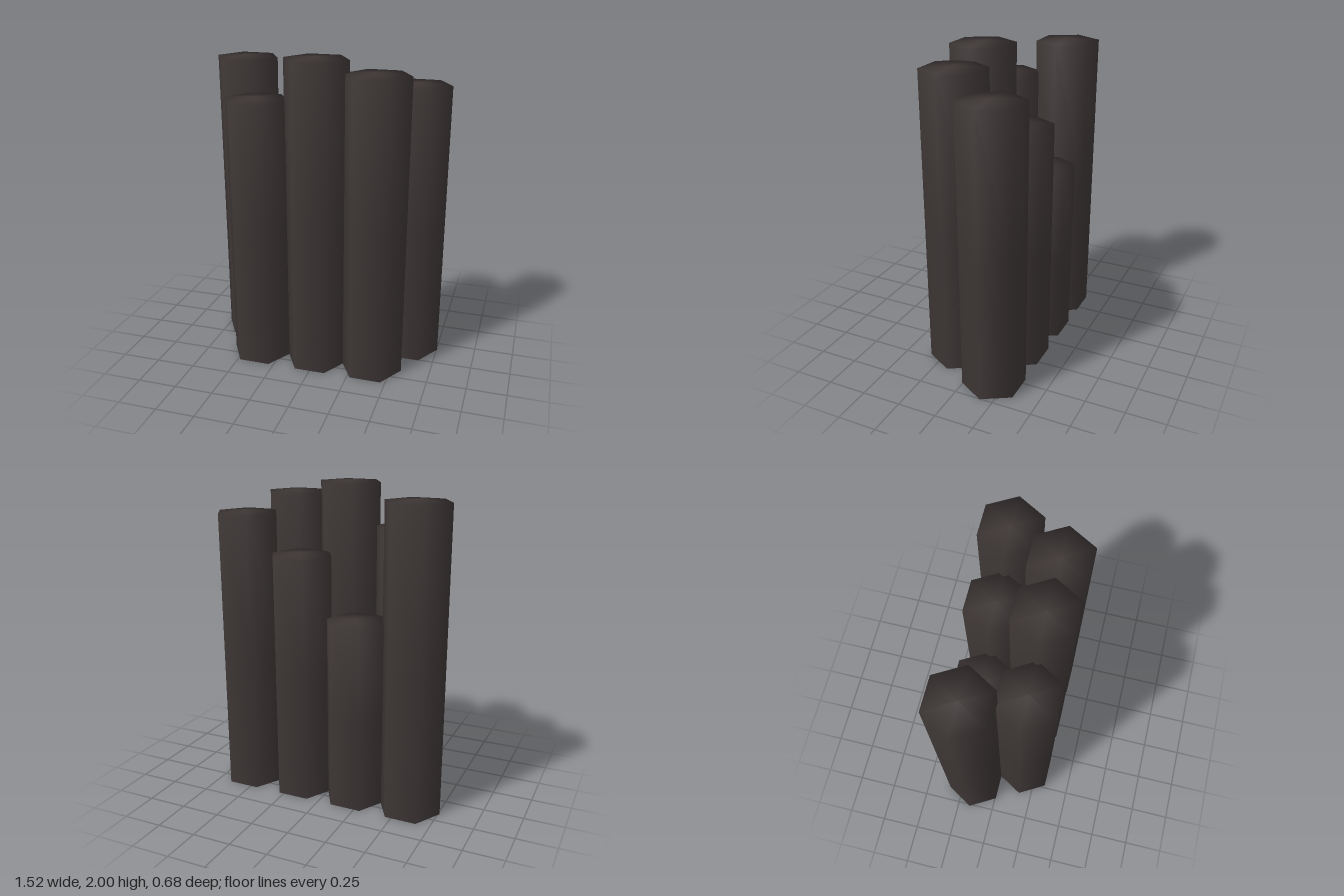
import * as THREE from 'three';

// Cluster of hexagonal stone columns: name, x, z, height
const COLUMNS = [
  ['backColumn1', -0.562, -0.167, 1.94],
  ['backColumn2', -0.19, -0.167, 1.2],
  ['backColumn3', 0.182, -0.167, 1.58],
  ['backColumn4', 0.555, -0.167, 1.82],
  ['frontColumn1', -0.383, 0.163, 1.74],
  ['frontColumn2', 0, 0.163, 2.0],
  ['frontColumn3', 0.37, 0.163, 1.925],
];
const TOP_R = 0.204, BASE_R = 0.199, DOME = 0.013;

export function createModel() {
  const group = new THREE.Group();
  group.name = 'stoneColumns';
  const basalt = new THREE.MeshStandardMaterial({ color: 0x3d3635 });
  basalt.name = 'basalt';

  for (const [name, x, z, h] of COLUMNS) {
    const column = new THREE.Group();
    column.name = name;
    column.position.set(x, 0, z);

    // Six-sided shaft, slightly wider at the top, with a faintly domed cap
    const profile = [
      [BASE_R, 0],
      [(BASE_R + TOP_R) / 2, h / 2],
      [TOP_R, h - DOME],
      [0, h],
    ].map(([r, y]) => new THREE.Vector2(r, y));
    const shaft = new THREE.Mesh(new THREE.LatheGeometry(profile, 6, Math.PI / 2), basalt);
    shaft.name = 'shaft';

    // Flat underside
    const base = new THREE.Mesh(new THREE.CircleGeometry(BASE_R, 6).rotateX(Math.PI / 2), basalt);
    base.name = 'underside';

    column.add(shaft, base);
    group.add(column);
  }
  return group;
}
